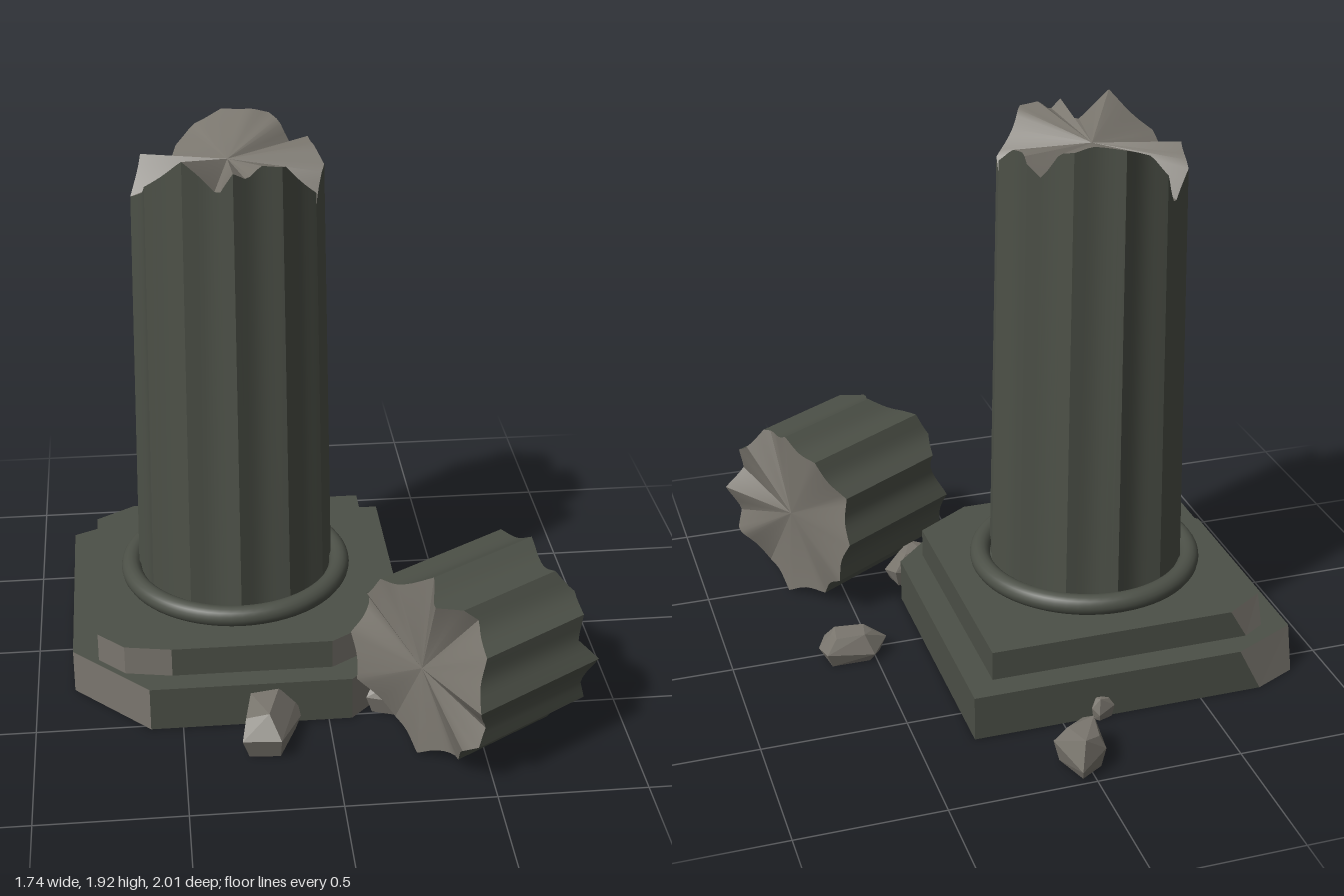
import * as THREE from 'three';
import { toCreasedNormals } from 'three/addons/utils/BufferGeometryUtils.js';
import { ConvexGeometry } from 'three/addons/geometries/ConvexGeometry.js';

const FLUTES = 12, STEPS = 8, SEGS = FLUTES * STEPS;
const AX = -0.28, AZ = -0.07; // column axis

const weathered = new THREE.MeshStandardMaterial({ color: 0x4c5047 });
weathered.name = 'weathered stone';
const broken = new THREE.MeshStandardMaterial({ color: 0x7a766e });
broken.name = 'broken stone';

function fromTriangles(points) {
  const g = new THREE.BufferGeometry();
  g.setAttribute('position', new THREE.Float32BufferAttribute(points.flat(), 3));
  g.computeVertexNormals();
  return g;
}

function mesh(name, geometry, material) {
  const m = new THREE.Mesh(geometry, material);
  m.name = name;
  return m;
}

// Linear interpolation through [degrees, value] pairs, wrapping at 360
function rimHeight(table, deg) {
  const n = table.length;
  for (let i = 0; i < n; i++) {
    const [a0, v0] = table[i];
    const [a1, v1] = i + 1 < n ? table[i + 1] : [table[0][0] + 360, table[0][1]];
    const d = deg < table[0][0] ? deg + 360 : deg;
    if (d >= a0 && d <= a1) return v0 + (v1 - v0) * (d - a0) / (a1 - a0);
  }
  return table[0][1];
}

// Ring of fluted points; radius may depend on height
function flutedRing(table, radiusAt, depth) {
  return Array.from({ length: SEGS }, (_, i) => {
    const t = i / SEGS * Math.PI * 2;
    const y = rimHeight(table, i / SEGS * 360);
    const r = radiusAt(y) - depth * Math.abs(Math.sin(t * FLUTES / 2));
    return [r * Math.sin(t), y, r * Math.cos(t)];
  });
}

// Fluted shaft between two rings
function shaftGeometry(low, high) {
  const tris = [];
  low.forEach((a, i) => {
    const j = (i + 1) % SEGS;
    tris.push(a, low[j], high[j], a, high[j], high[i]);
  });
  return toCreasedNormals(fromTriangles(tris), 0.5);
}

// Fan of broken stone from a rim to its centre
function breakGeometry(ring, centreY, up) {
  const tris = [], c = [0, centreY, 0];
  ring.forEach((a, i) => {
    const b = ring[(i + 1) % SEGS];
    tris.push(...(up ? [a, b, c] : [b, a, c]));
  });
  return toCreasedNormals(fromTriangles(tris), 0.5);
}

// Slab with cut corners; the listed sides show broken stone
function slab(name, y0, y1, bottom, top, chips) {
  const lo = bottom.map(([x, z]) => [x, y0, z]), hi = top.map(([x, z]) => [x, y1, z]);
  const n = lo.length, tris = [], groups = [];
  lo.forEach((a, i) => {
    const j = (i + 1) % n;
    groups.push([tris.length, 6, chips.includes(i) ? 1 : 0]);
    tris.push(a, lo[j], hi[j], a, hi[j], hi[i]);
  });
  groups.push([tris.length, (n - 2) * 6, 0]);
  for (let i = 1; i < n - 1; i++) {
    tris.push(hi[0], hi[i], hi[i + 1], lo[0], lo[i + 1], lo[i]);
  }
  const g = fromTriangles(tris);
  groups.forEach((p) => g.addGroup(...p));
  return mesh(name, g, [weathered, broken]);
}

// Angular fragment: outline at its widest, narrowed below and above
function rock(name, outline, h, lean = [0, 0]) {
  const n = outline.length;
  const cx = outline.reduce((s, p) => s + p[0], 0) / n;
  const cz = outline.reduce((s, p) => s + p[1], 0) / n;
  const pts = [];
  outline.forEach(([x, z], i) => {
    const at = (k, y, l) => pts.push(new THREE.Vector3(
      cx + (x - cx) * k + lean[0] * l, y, cz + (z - cz) * k + lean[1] * l));
    at(0.8, 0, 0);
    at(1, h * (i % 2 ? 0.3 : 0.55), 0);
    at(0.6, h * (i % 3 ? 1 : 0.88), 1);
  });
  return mesh(name, new ConvexGeometry(pts), broken);
}

export function createModel() {
  const model = new THREE.Group();
  model.name = 'ruined column';

  // Stepped base with chipped corners
  const lowerRest = [[-0.61, 0.52], [0.08, 0.52], [0.31, 0.29], [0.31, -0.66]];
  model.add(slab('lowerSlab', 0, 0.16,
    [...lowerRest, [-0.72, -0.66], [-0.87, -0.59], [-0.87, 0.26]],
    [...lowerRest, [-0.64, -0.66], [-0.87, -0.55], [-0.87, 0.26]], [1, 4, 6]));
  const upperRest = [[-0.53, 0.44], [0.02, 0.44], [0.22, 0.31], [0.22, -0.57]];
  model.add(slab('upperSlab', 0.16, 0.265,
    [...upperRest, [-0.7, -0.57], [-0.78, -0.52], [-0.78, 0.32], [-0.69, 0.41]],
    [...upperRest, [-0.64, -0.57], [-0.78, -0.48], [-0.78, 0.32], [-0.69, 0.41]], [1, 4, 6, 7]));

  // Rounded ring at the foot of the shaft
  const ring = mesh('footRing', new THREE.TorusGeometry(0.375, 0.036, 16, 64), weathered);
  ring.rotation.x = Math.PI / 2;
  ring.position.set(AX, 0.3, AZ);
  model.add(ring);

  // Standing fluted shaft with a jagged top
  const column = new THREE.Group();
  column.name = 'standingShaft';
  column.position.set(AX, 0, AZ);
  const taper = (y) => 0.348 - (y - 0.26) * 0.018;
  const foot = flutedRing([[0, 0.26]], taper, 0.026);
  const rim = flutedRing([
    [0, 1.89], [9, 1.86], [18, 1.9], [33, 1.89], [46, 1.83], [60, 1.76], [72, 1.65],
    [86, 1.78], [100, 1.85], [115, 1.86], [128, 1.79], [140, 1.88], [160, 1.91],
    [180, 1.9], [200, 1.86], [214, 1.76], [227, 1.66], [242, 1.78], [255, 1.83],
    [270, 1.71], [285, 1.75], [300, 1.8], [315, 1.86], [330, 1.92], [351, 1.81]], taper, 0.026);
  column.add(mesh('shaft', shaftGeometry(foot, rim), weathered));
  column.add(mesh('shaftBreak', breakGeometry(rim, 1.83, true), broken));
  model.add(column);

  // Fallen drum lying on its side, broken at both ends
  const drum = new THREE.Group();
  drum.name = 'fallenDrum';
  drum.position.set(0.48, 0.325, 0.6);
  drum.quaternion.setFromUnitVectors(
    new THREE.Vector3(0, 1, 0), new THREE.Vector3(0.85, 0, -0.527).normalize());
  const round = () => 0.325;
  const endA = flutedRing([
    [0, -0.2], [30, -0.26], [48, -0.2], [70, -0.25], [95, -0.2], [120, -0.25], [150, -0.21],
    [180, -0.28], [211, -0.27], [235, -0.22], [255, -0.29], [280, -0.26], [300, -0.18],
    [318, -0.26], [338, -0.15]], round, 0.028);
  const endB = flutedRing([
    [15, 0.2], [30, 0.26], [48, 0.22], [65, 0.25], [90, 0.19], [120, 0.25], [150, 0.22],
    [180, 0.26], [211, 0.25], [240, 0.22], [270, 0.26], [300, 0.25], [325, 0.19],
    [345, 0.25]], round, 0.028);
  drum.add(mesh('drumSide', shaftGeometry(endA, endB), weathered));
  drum.add(mesh('drumBreakLow', breakGeometry(endA, -0.23, false), broken));
  drum.add(mesh('drumBreakHigh', breakGeometry(endB, 0.23, true), broken));
  model.add(drum);

  // Scattered fragments
  model.add(rock('backRock',
    [[-0.05, -0.94], [0.05, -1], [0.1, -0.85], [-0.02, -0.75], [-0.07, -0.79]], 0.14, [0, -0.02]));
  model.add(rock('backPebble',
    [[-0.18, -0.67], [-0.12, -0.69], [-0.1, -0.67], [-0.11, -0.62], [-0.17, -0.62]], 0.08));
  model.add(rock('sideRock',
    [[0.45, -0.03], [0.51, -0.1], [0.68, -0.1], [0.69, 0], [0.66, 0.04], [0.49, 0.02]], 0.1));
  model.add(rock('frontRock',
    [[-0.31, 0.73], [-0.27, 0.53], [-0.11, 0.5], [-0.1, 0.55], [-0.18, 0.74]], 0.14, [-0.03, -0.02]));
  model.add(rock('cornerRock',
    [[0.13, 0.5], [0.19, 0.38], [0.31, 0.37], [0.33, 0.46], [0.24, 0.54]], 0.12, [-0.02, 0]));
  return model;
}
